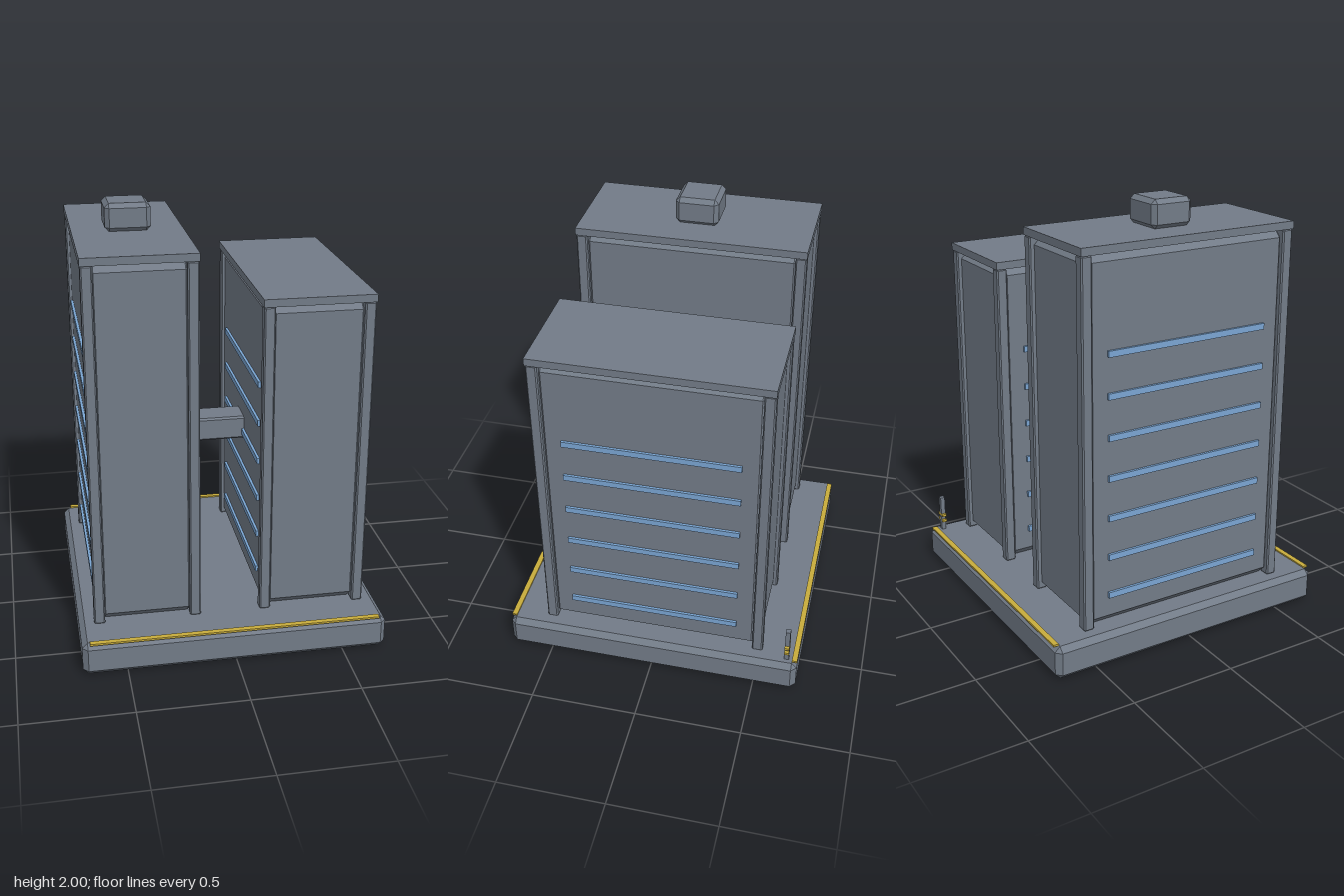
import * as THREE from 'three';
import { ConvexGeometry } from 'three/addons/geometries/ConvexGeometry.js';

const paint = (name, color) => {
  const m = new THREE.MeshStandardMaterial({ color });
  m.name = name;
  return m;
};

// Box with flat chamfers on all twelve edges
function chamferBox(w, h, d, c) {
  const pts = [], x = w / 2, y = h / 2, z = d / 2;
  for (const sx of [-1, 1]) for (const sy of [-1, 1]) for (const sz of [-1, 1]) {
    pts.push(
      new THREE.Vector3(sx * x, sy * (y - c), sz * (z - c)),
      new THREE.Vector3(sx * (x - c), sy * y, sz * (z - c)),
      new THREE.Vector3(sx * (x - c), sy * (y - c), sz * z)
    );
  }
  return new ConvexGeometry(pts);
}

export function createModel() {
  const concrete = paint('concrete grey', 0x727b87);
  const glass = paint('window blue', 0x7aa5d2);
  const yellow = paint('trim yellow', 0xc8ac3c);
  const model = new THREE.Group();
  model.name = 'twinTowers';

  // Block spanning y0 to y1, chamfered when c > 0
  const block = (parent, name, mat, w, d, y0, y1, x, z, c = 0) => {
    const h = y1 - y0;
    const geo = c > 0 ? chamferBox(w, h, d, c) : new THREE.BoxGeometry(w, h, d);
    const mesh = new THREE.Mesh(geo, mat);
    mesh.name = name;
    mesh.position.set(x, (y0 + y1) / 2, z);
    parent.add(mesh);
    return mesh;
  };

  // Plinth with a yellow strip along its front and back
  block(model, 'plinth', concrete, 1.405, 1.405, 0, 0.158, 0, 0, 0.025);
  for (const s of [-1, 1]) {
    block(model, 'edgeStrip', yellow, 1.335, 0.025, 0.156, 0.165, 0, s * 0.69);
  }

  // Tower: body, corner posts, flat roof and window bands on both long sides
  const tower = (name, x, top, bands) => {
    const g = new THREE.Group();
    g.name = name;
    g.position.x = x;
    model.add(g);
    block(g, 'body', concrete, 0.46, 1.02, 0.158, top - 0.033, 0, 0, 0.038);
    block(g, 'roof', concrete, 0.5, 1.065, top - 0.035, top, 0, 0);
    for (const sx of [-1, 1]) {
      for (const sz of [-1, 1]) {
        block(g, 'cornerPost', concrete, 0.05, 0.05, 0.158, top - 0.035, sx * 0.222, sz * 0.505, 0.006);
      }
      for (let i = 0; i < bands; i++) {
        const y = 0.3 + i * 0.186;
        block(g, 'windowBand', glass, 0.02, 0.8, y - 0.014, y + 0.014, sx * 0.232, 0);
      }
    }
  };
  tower('rightTower', -0.387, 1.875, 7);
  tower('leftTower', 0.385, 1.662, 6);

  // Rooftop plant room
  block(model, 'roofUnit', concrete, 0.205, 0.2, 1.873, 2, -0.387, 0, 0.02);

  // Walkway between the towers
  block(model, 'bridge', concrete, 0.36, 0.15, 0.82, 0.933, 0, -0.035, 0.009);

  // Small mast with two crossbars
  block(model, 'mast', concrete, 0.024, 0.022, 0.155, 0.335, 0.645, -0.65);
  for (const y of [0.21, 0.24]) {
    block(model, 'crossbar', yellow, 0.055, 0.022, y - 0.006, y + 0.006, 0.645, -0.65);
  }
  return model;
}
